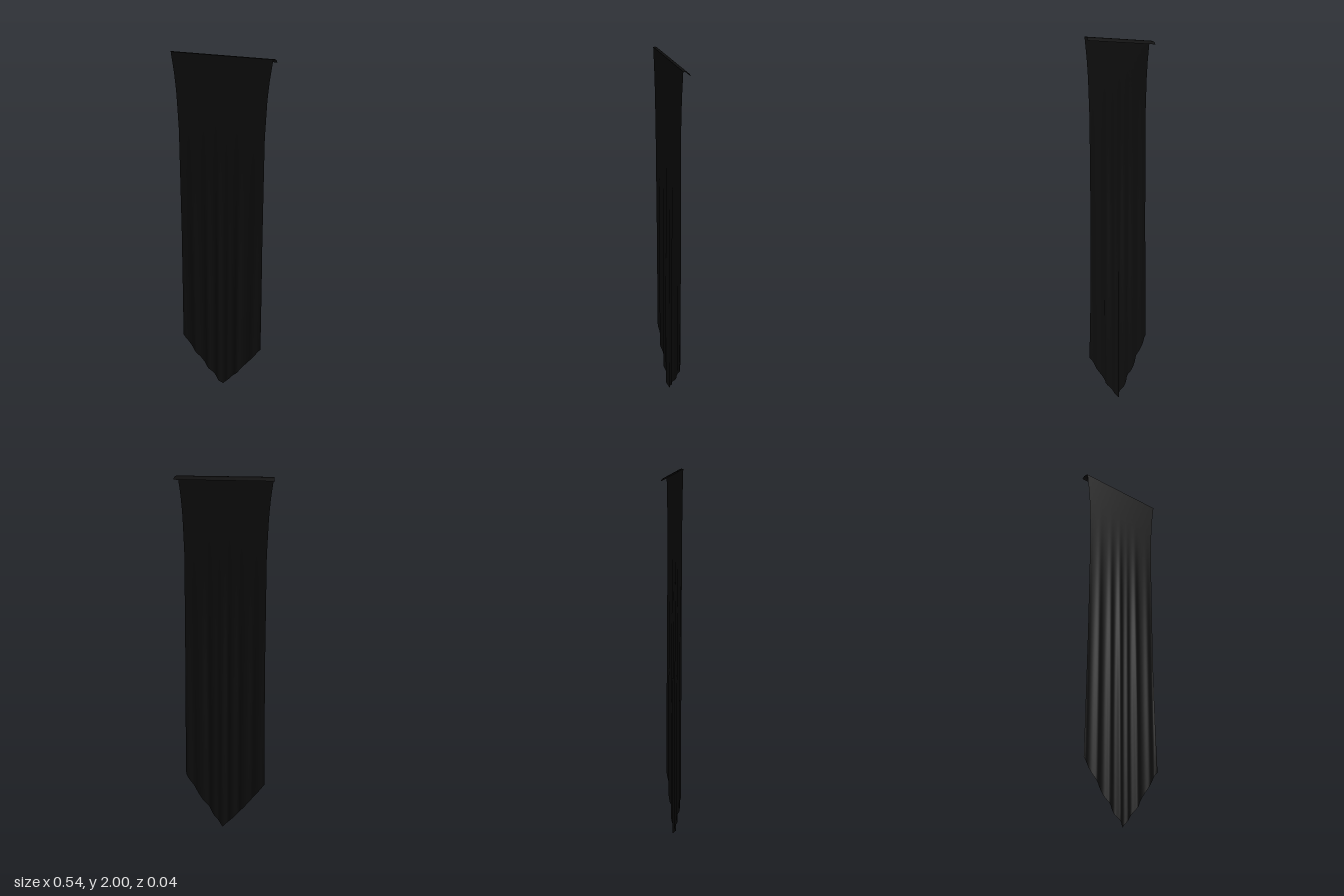
import * as THREE from 'three';

const COLS = 72, ROWS = 48, SHOULDER = 0.31;

// Half width of the cloth at a list of heights, from the shoulder up to the rod
const WIDTHS = [[0.31, 0.24], [0.6, 0.236], [1.0, 0.231], [1.6, 0.229], [1.8, 0.237], [1.9, 0.246], [1.97, 0.256], [2, 0.26]];

// Soft vertical folds: [centre, depth, spread], deeper towards the hem
const FOLDS = [[-0.23, 0.005, 0.014], [-0.16, 0.011, 0.02], [-0.08, 0.013, 0.018], [-0.015, 0.016, 0.016],
  [0.04, 0.007, 0.014], [0.1, 0.016, 0.02], [0.19, 0.008, 0.022], [0.25, 0.021, 0.011]];

function halfWidth(y) {
  if (y <= SHOULDER) return WIDTHS[0][1];
  const i = Math.min(WIDTHS.findIndex(w => w[0] >= y - 1e-6), WIDTHS.length - 1);
  const [y0, w0] = WIDTHS[i - 1] ?? WIDTHS[0], [y1, w1] = WIDTHS[i];
  return y1 === y0 ? w0 : THREE.MathUtils.mapLinear(y, y0, y1, w0, w1);
}

function foldDepth(x, y) {
  const grow = 1 - THREE.MathUtils.smoothstep(y, 0.5, 1.85);
  let z = -0.003;
  for (const [c, depth, spread] of FOLDS) z += depth * Math.exp(-(((x - c) / spread) ** 2));
  return 0.005 * (1 - grow) + grow * z;
}

// Smooth sheet from a function of u (-1..1 across) and v (0..1 from top to bottom)
function sheet(name, cols, rows, point, material) {
  const geometry = new THREE.PlaneGeometry(2, 1, cols, rows);
  const pos = geometry.attributes.position;
  for (let i = 0; i < pos.count; i++) {
    pos.setXYZ(i, ...point(pos.getX(i), 0.5 - pos.getY(i)));
  }
  geometry.computeVertexNormals();
  const mesh = new THREE.Mesh(geometry, material);
  mesh.name = name;
  return mesh;
}

export function createModel() {
  const group = new THREE.Group();
  group.name = 'hangingBanner';
  const cloth = new THREE.MeshStandardMaterial({ color: 0x0c0c0c, side: THREE.DoubleSide });

  // Hanging cloth, each column ending on the pointed hem
  group.add(sheet('cloth', COLS, ROWS, (u, v) => {
    const a = Math.abs(u);
    const hem = SHOULDER * (0.86 * a + 0.14 * a * a);
    const y = 2 - v * (2 - hem);
    const x = u * halfWidth(y) + 0.008 * (1 - a) * (1 - y / 2) + 0.002 * (1 - y / 2);
    return [x, y, foldDepth(x, y)];
  }, cloth));

  // Top edge turned over backwards and slightly down: [half width, y, z]
  const lip = [[0.272, 1.98, -0.027], [0.27, 1.99, -0.023], [0.267, 1.997, -0.015], [0.264, 2, -0.006], [0.26, 2, 0.005]];
  group.add(sheet('turnedTopEdge', 8, lip.length - 1, (u, v) => {
    const [w, y, z] = lip[Math.round(v * (lip.length - 1))];
    return [u * w, y, z];
  }, cloth));

  return group;
}
